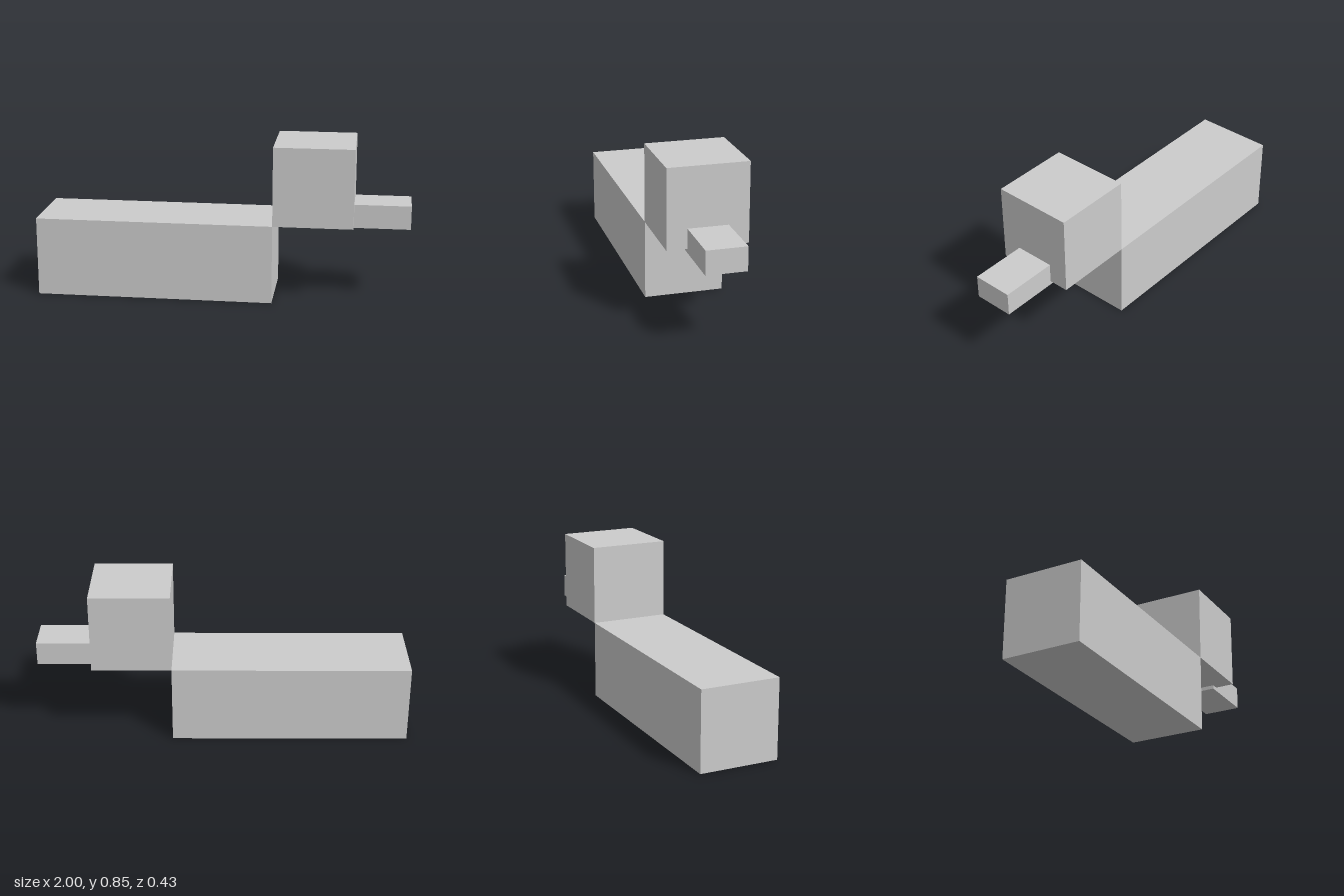
import * as THREE from 'three';

export function createModel() {
  const model = new THREE.Group();
  model.name = 'blockAnimal';
  const grey = new THREE.MeshStandardMaterial({ color: 0xcccccc });
  grey.name = 'light grey';

  // Box given by its x and y extents and its depth, centred on z = 0
  function addBlock(name, x0, x1, y0, y1, depth) {
    const mesh = new THREE.Mesh(new THREE.BoxGeometry(x1 - x0, y1 - y0, depth), grey);
    mesh.name = name;
    mesh.position.set((x0 + x1) / 2, (y0 + y1) / 2, 0);
    model.add(mesh);
  }

  // Long body, with the head touching it only along the upper edge
  addBlock('body', -1, 0.275, 0, 0.426, 0.426);
  addBlock('head', 0.275, 0.7, 0.426, 0.852, 0.426);
  // Snout, sunk slightly into the head and hanging just below it
  addBlock('snout', 0.66, 1, 0.405, 0.532, 0.212);

  return model;
}
